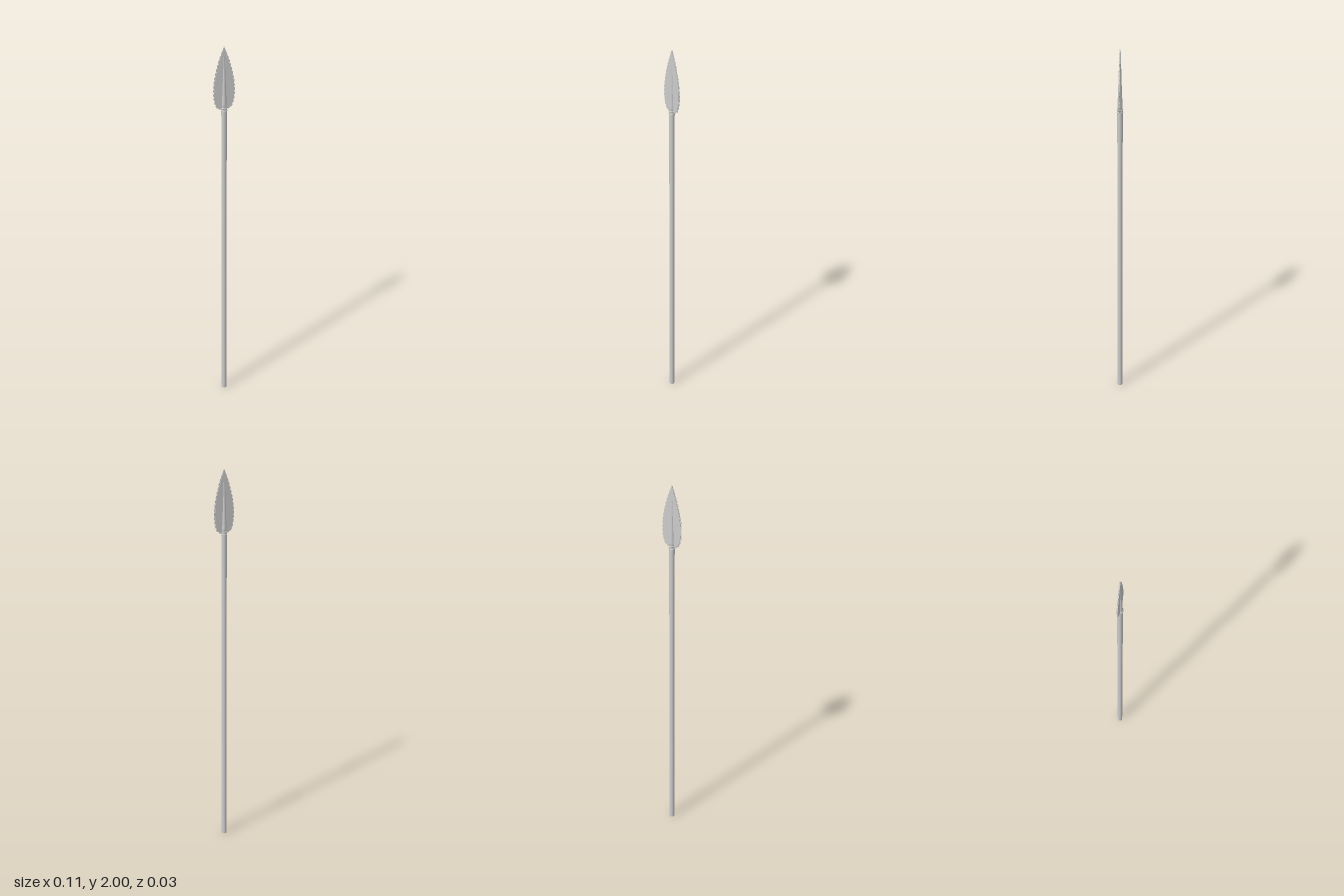
import * as THREE from 'three';

const grey = new THREE.MeshStandardMaterial({ color: 0xcccccc });

function add(group, name, geometry, y = 0) {
  const mesh = new THREE.Mesh(geometry, grey);
  mesh.name = name;
  mesh.position.y = y;
  group.add(mesh);
  return mesh;
}

// Leaf outline of the blade: half-width at each height
const leaf = new THREE.CatmullRomCurve3([
  [0.012, 1.685], [0.034, 1.697], [0.046, 1.73], [0.05, 1.78], [0.045, 1.84],
  [0.034, 1.89], [0.02, 1.94], [0.009, 1.975], [0.001, 1.998],
].map(([x, y]) => new THREE.Vector3(x, y, 0)));

// Mirrors a right-hand edge into a closed plate centred on z = 0
function plate(edge, depth) {
  const mirrored = edge.map(p => new THREE.Vector2(-p.x, p.y)).reverse();
  const geometry = new THREE.ExtrudeGeometry(new THREE.Shape([...edge, ...mirrored]), {
    depth, bevelEnabled: false,
  });
  return geometry.translate(0, 0, -depth / 2);
}

// Thin edge with square-cut teeth following the leaf
function toothedEdge(teeth) {
  const points = [];
  for (let i = 0; i < teeth; i++) {
    for (const [step, out] of [[0, 0.001], [0.15, 0.005], [0.7, 0.005], [0.85, 0.001]]) {
      const t = (i + step) / teeth;
      const p = leaf.getPointAt(t), d = leaf.getTangentAt(t);
      const reach = out * Math.min(1, (1 - t) * 5);
      points.push(new THREE.Vector2(p.x + d.y * reach, Math.max(1.685, p.y - d.x * reach)));
    }
  }
  points.push(new THREE.Vector2(0.0005, 2));
  return points;
}

export function createModel() {
  const spear = new THREE.Group();
  spear.name = 'spear';

  // Shaft
  add(spear, 'shaft', new THREE.CylinderGeometry(0.0135, 0.0135, 1.685, 24), 0.8425);

  // Collar rings where the head meets the shaft
  for (const y of [1.677, 1.69]) {
    const ring = add(spear, 'collarRing', new THREE.TorusGeometry(0.0125, 0.0035, 8, 24), y);
    ring.rotation.x = Math.PI / 2;
  }

  // Blade: solid core plate and thinner toothed rim
  const head = new THREE.Group();
  head.name = 'spearhead';
  spear.add(head);
  const core = leaf.getSpacedPoints(32).map(p => new THREE.Vector2(p.x, p.y));
  add(head, 'blade', plate(core, 0.006));
  add(head, 'serratedRim', plate(toothedEdge(16), 0.002));

  // Round socket tapering into the central rib
  const rib = [[0, 1.68], [0.0135, 1.68], [0.0125, 1.71], [0.0095, 1.78], [0.0065, 1.87], [0.004, 1.95], [0, 2]];
  add(head, 'centralRib', new THREE.LatheGeometry(rib.map(([r, y]) => new THREE.Vector2(r, y)), 20));

  return spear;
}
